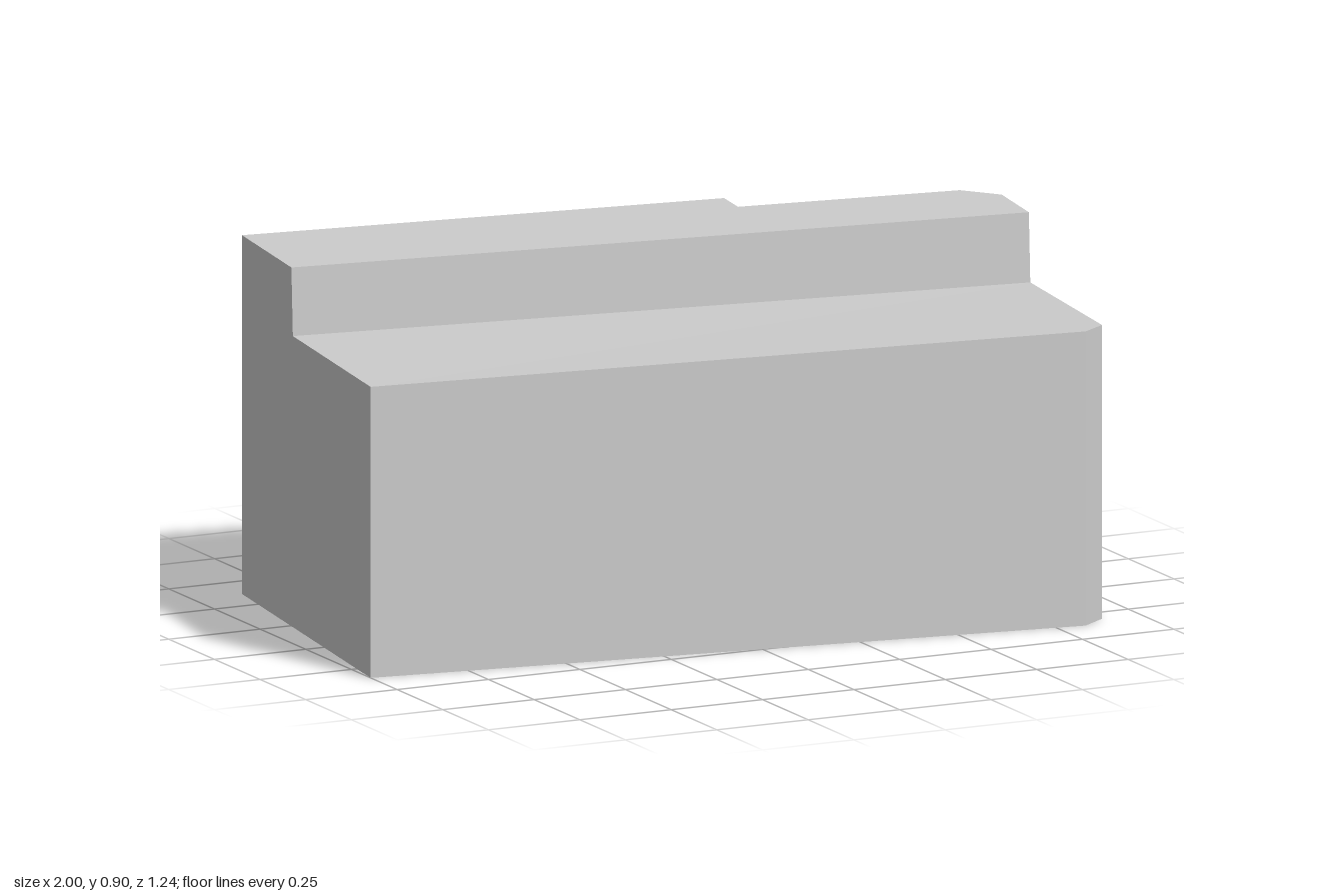
import * as THREE from 'three';

const v = (x, y, z) => new THREE.Vector3(x, y, z);

// Triangles for one flat face, whose corners run counter-clockwise seen from outside
function faceTriangles(corners) {
  const normal = v(0, 0, 0);
  corners.forEach((p, i) => {
    const q = corners[(i + 1) % corners.length];
    normal.add(p.clone().cross(q));
  });
  const [ax, ay, az] = normal.toArray().map(Math.abs);
  const flat = corners.map(({ x, y, z }) =>
    ax >= ay && ax >= az ? new THREE.Vector2(y, z)
      : ay >= az ? new THREE.Vector2(z, x) : new THREE.Vector2(x, y));
  const out = [];
  for (const t of THREE.ShapeUtils.triangulateShape(flat, [])) {
    const [a, b, c] = t.map((i) => corners[i]);
    const facing = b.clone().sub(a).cross(c.clone().sub(a)).dot(normal);
    for (const p of facing > 0 ? [a, b, c] : [a, c, b]) out.push(p.x, p.y, p.z);
  }
  return out;
}

export function createModel() {
  const grey = new THREE.MeshStandardMaterial({ color: 0xcccccc });
  grey.name = 'light grey';
  const group = new THREE.Group();
  group.name = 'building';

  const addPart = (name, faces) => {
    const geometry = new THREE.BufferGeometry();
    geometry.setAttribute('position', new THREE.Float32BufferAttribute(faces.flatMap(faceTriangles), 3));
    geometry.computeVertexNormals();
    const mesh = new THREE.Mesh(geometry, grey);
    mesh.name = name;
    group.add(mesh);
  };

  // Roof corners of the low front block
  const frontLeft = v(-1, 0.73, 0.355);
  const frontRight = v(0.825, 0.738, 0.617);
  const frontChamfer = v(0.895, 0.737, 0.567);
  // Foot and head of the slightly leaning step
  const footRight = v(0.971, 0.726, 0.022), headRight = v(0.972, 0.9, 0.012);
  const footLeft = v(-0.918, 0.73, -0.235), headLeft = v(-0.917, 0.9, -0.245);
  // Roof corners of the tall rear block, from right to left
  const rear = [[1, -0.193], [0.93, -0.283], [0.362, -0.36], [0.375, -0.462], [-0.865, -0.62]]
    .map(([x, z]) => v(x, 0.9, z));
  const rearRight = rear[0], rearLeft = rear[4];

  const base = (p) => v(p.x, 0, p.z);
  const wall = (p, q) => [base(p), base(q), q, p];

  addPart('frontWalls', [wall(frontLeft, frontRight), wall(frontRight, frontChamfer)]);
  addPart('rearWalls', rear.slice(1).map((p, i) => wall(rear[i], p)));
  addPart('leftEndWall', [[base(frontChamfer), base(rearRight), rearRight, headRight, footRight, frontChamfer]]);
  addPart('rightEndWall', [[base(rearLeft), base(frontLeft), frontLeft, footLeft, headLeft, rearLeft]]);
  addPart('lowRoof', [[frontLeft, frontRight, frontChamfer, footRight, footLeft]]);
  addPart('roofStep', [[footLeft, footRight, headRight, headLeft]]);
  addPart('highRoof', [[headLeft, headRight, ...rear]]);
  addPart('underside', [[frontLeft, frontRight, frontChamfer, ...rear].map(base).reverse()]);

  return group;
}
